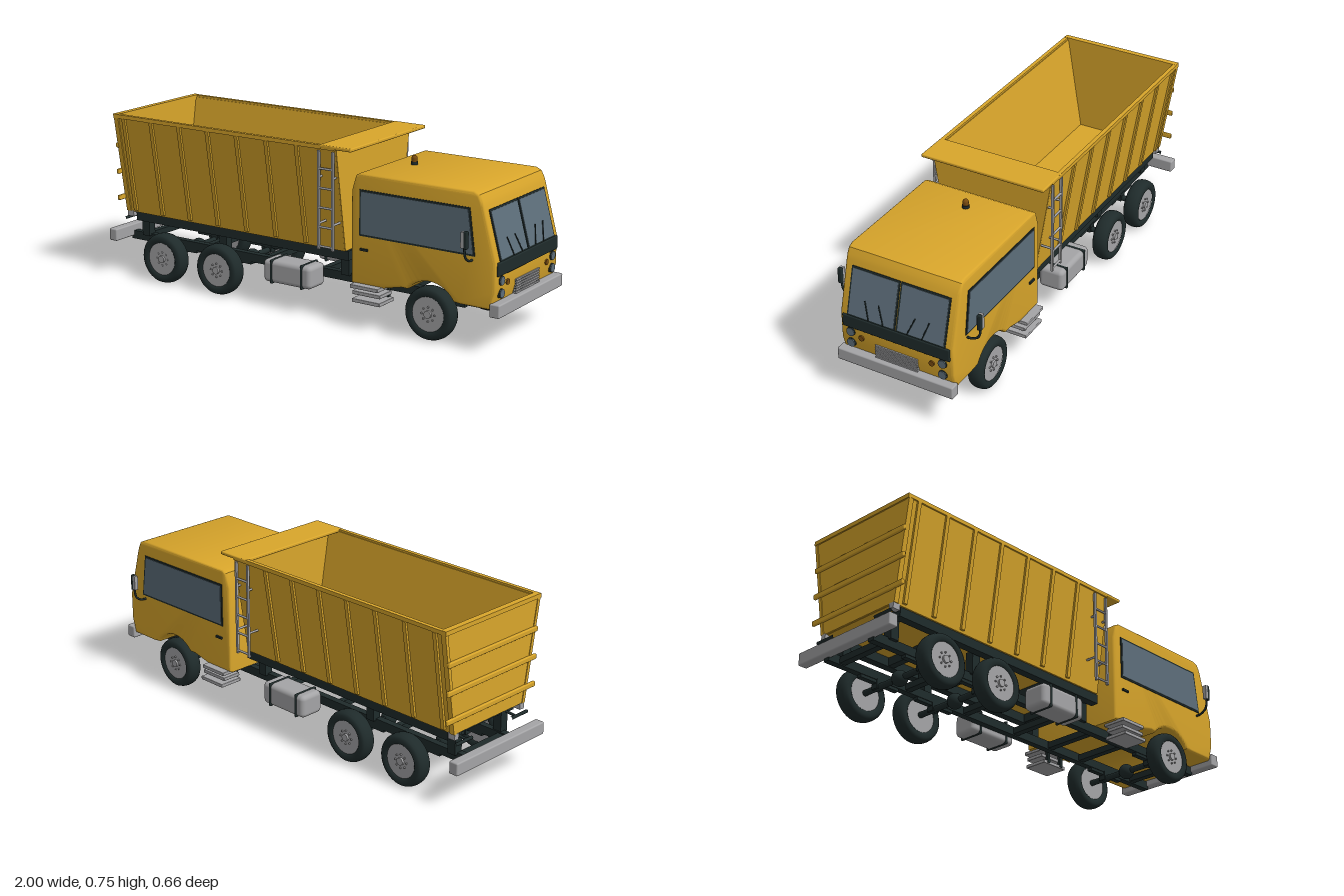
import * as THREE from 'three';
import { toCreasedNormals } from 'three/addons/utils/BufferGeometryUtils.js';
import { RoundedBoxGeometry } from 'three/addons/geometries/RoundedBoxGeometry.js';

const material = (name, color) => Object.assign(new THREE.MeshStandardMaterial({ color }), { name });

export function createModel() {
  const paint = material('yellow paint', 0xd9a62b);
  const dark = material('dark rubber and iron', 0x1f2b2b);
  const glass = material('window glass', 0x5d6e7a);
  const steel = material('light steel', 0xa4a4a6);
  const amber = material('amber lens', 0x7a4c10);

  const truck = new THREE.Group();
  truck.name = 'dumpTruck';
  const add = (name, geo, mat, x = 0, y = 0, z = 0, parent = truck) => {
    const m = new THREE.Mesh(geo, mat);
    m.name = name;
    m.position.set(x, y, z);
    parent.add(m);
    return m;
  };
  // Box given by its limits on each axis
  const box = (name, mat, x0, x1, y0, y1, z0, z1, parent = truck) =>
    add(name, new THREE.BoxGeometry(x1 - x0, y1 - y0, z1 - z0), mat,
      (x0 + x1) / 2, (y0 + y1) / 2, (z0 + z1) / 2, parent);
  const shapeOf = pts => new THREE.Shape(pts.map(p => new THREE.Vector2(...p)));
  // Cross-section of (z, y) points extruded along x
  const alongX = (name, mat, pts, x0, x1) => {
    const geo = new THREE.ExtrudeGeometry(shapeOf(pts.map(([z, y]) => [-z, y])), { depth: x1 - x0, bevelEnabled: false });
    return add(name, geo.rotateY(Math.PI / 2), mat, x0);
  };
  const rod = (name, mat, a, b, r, parent = truck) => {
    const curve = new THREE.LineCurve3(new THREE.Vector3(...a), new THREE.Vector3(...b));
    return add(name, new THREE.TubeGeometry(curve, 1, r, 8), mat, 0, 0, 0, parent);
  };
  const sides = [1, -1];

  // Cab: side profile with wheel arch, rounded edges
  const cab = shapeOf([[0.305, 0.18], [0.46, 0.18], [0.545, 0.2]]);
  cab.absarc(0.675, 0.115, 0.132, 2.45, 0.55, true);
  [[0.82, 0.18], [0.955, 0.18], [0.975, 0.25], [0.975, 0.372], [0.915, 0.59], [0.908, 0.61], [0.895, 0.634], [0.87, 0.645],
    [0.345, 0.645], [0.325, 0.635], [0.305, 0.57]].forEach(p => cab.lineTo(...p));
  const cabGeo = new THREE.ExtrudeGeometry(cab, {
    depth: 0.496, bevelThickness: 0.012, bevelSize: 0.012, bevelOffset: -0.012, bevelSegments: 3, curveSegments: 20,
  });
  add('cab', toCreasedNormals(cabGeo, 0.6), paint, 0, 0, -0.248);

  // Side windows, door handles, mirrors and steps
  const pane = (e, depth) => new THREE.ExtrudeGeometry(shapeOf([
    [0.355 - e, 0.395 - e], [0.876 + e, 0.395 - e], [0.85 + e, 0.572 + e], [0.355 - e, 0.572 + e]]),
    { depth, bevelEnabled: false });
  sides.forEach(s => {
    add('sideWindowFrame', pane(0.008, 0.004), dark, 0, 0, s * 0.261 - 0.002);
    add('sideWindow', pane(0, 0.006), glass, 0, 0, s * 0.262 - 0.003);
    box('doorHandle', dark, 0.352, 0.388, 0.326, 0.335, s * 0.263 - 0.005, s * 0.263 + 0.005);
    const arm = new THREE.CatmullRomCurve3([[0.25, 0.37], [0.285, 0.373], [0.312, 0.392], [0.32, 0.425], [0.32, 0.46]]
      .map(([z, y]) => new THREE.Vector3(0.87, y, s * z)));
    add('mirrorArm', new THREE.TubeGeometry(arm, 20, 0.005, 8), dark);
    add('mirrorHousing', new RoundedBoxGeometry(0.016, 0.072, 0.02, 2, 0.005), dark, 0.876, 0.465, s * 0.32);
    box('mirrorGlass', steel, 0.856, 0.87, 0.433, 0.497, s * 0.32 - 0.009, s * 0.32 + 0.009);
    for (const [y, x0] of [[0.176, 0.32], [0.148, 0.325], [0.118, 0.33]])
      add('step', new RoundedBoxGeometry(0.135, 0.016, y === 0.148 ? 0.09 : 0.11, 1, 0.003), steel, x0 + 0.067, y, s * 0.235);
    for (const x of [0.35, 0.43]) box('stepBracket', dark, x, x + 0.015, 0.115, 0.18, s * 0.185 - 0.008, s * 0.185 + 0.008);
  });

  // Windscreen, laid on the sloping front of the cab
  const front = new THREE.Group();
  front.name = 'windscreen';
  front.position.set(0.975, 0.372, 0);
  front.rotation.y = Math.PI / 2;
  const slope = new THREE.Group();
  slope.name = 'windscreenSlope';
  slope.rotation.x = -0.269;
  front.add(slope);
  truck.add(front);
  sides.forEach(s => {
    const c = s * 0.114;
    box('windscreenFrame', dark, c - 0.112, c + 0.112, 0, 0.208, -0.003, 0.003, slope);
    box('windscreenPane', glass, c - 0.105, c + 0.105, 0.006, 0.2, -0.003, 0.005, slope);
    rod('wiper', dark, [s * 0.123, 0.005, 0.008], [s * 0.148, 0.082, 0.008], 0.0025, slope);
    rod('wiper', dark, [s * 0.055, 0.005, 0.008], [s * 0.085, 0.082, 0.008], 0.0025, slope);
  });
  add('frontBand', new RoundedBoxGeometry(0.02, 0.057, 0.494, 2, 0.005), dark, 0.973, 0.344, 0);

  // Lamps and grille
  const lamp = (name, mat, r, x, y, z) =>
    add(name, new THREE.CylinderGeometry(r, r, 0.012, 24).rotateZ(-Math.PI / 2), mat, x, y, z);
  sides.forEach(s => {
    for (const y of [0.294, 0.242]) {
      lamp('headlampRim', dark, 0.0195, 0.974, y, s * 0.212);
      lamp('headlamp', glass, 0.018, 0.977, y, s * 0.212);
    }
    lamp('turnSignal', amber, 0.012, 0.975, 0.278, s * 0.163);
  });
  box('grilleBack', dark, 0.96, 0.976, 0.212, 0.27, -0.097, 0.097);
  for (let i = 0; i < 6; i++) box('grilleBar', steel, 0.965, 0.981, 0.212 + i * 0.0105, 0.219 + i * 0.0105, -0.098, 0.098);

  // Roof beacon
  add('beaconBase', new THREE.CylinderGeometry(0.015, 0.015, 0.014, 20), dark, 0.443, 0.651, 0);
  add('beaconLens', new THREE.CapsuleGeometry(0.0125, 0.014, 6, 20), amber, 0.443, 0.665, 0);

  // Bumpers
  add('frontBumper', new RoundedBoxGeometry(0.045, 0.055, 0.536, 2, 0.006), steel, 0.9775, 0.182, 0);
  add('rearBumper', new RoundedBoxGeometry(0.043, 0.055, 0.536, 2, 0.006), steel, -0.9785, 0.182, 0);

  // Tipping body with sloping sides
  alongX('bodyShell', paint, [[-0.21, 0.29], [0.21, 0.29], [0.28, 0.735], [0.265, 0.735], [0.192, 0.305],
    [-0.192, 0.305], [-0.265, 0.735], [-0.28, 0.735]], -0.925, 0.24);
  const endWall = [[-0.21, 0.292], [0.21, 0.292], [0.28, 0.737], [-0.28, 0.737]];
  alongX('bodyFrontWall', paint, endWall, 0.225, 0.245);
  alongX('tailgate', paint, endWall, -0.932, -0.915);
  box('tailgateRim', paint, -0.938, -0.912, 0.726, 0.745, -0.285, 0.285);
  add('cabGuard', new RoundedBoxGeometry(0.155, 0.015, 0.574, 2, 0.005), paint, 0.2425, 0.7385, 0);
  for (const y of [0.36, 0.48, 0.6])
    add('tailgateBar', new RoundedBoxGeometry(0.014, 0.022, 0.536, 2, 0.004), paint, -0.937, y, 0);
  sides.forEach(s => {
    box('topRail', paint, -0.925, 0.24, 0.727, 0.744, s * 0.277 - 0.009, s * 0.277 + 0.009);
    for (let i = 0; i < 7; i++) {
      const x = -0.88 + i * 0.155;
      alongX('bodyRib', paint, [[0.205, 0.3], [0.222, 0.3], [0.288, 0.727], [0.27, 0.727]].map(([z, y]) => [s * z, y]),
        x - 0.009, x + 0.009);
    }
    alongX('cornerPost', paint, [[0.2, 0.292], [0.216, 0.292], [0.285, 0.73], [0.27, 0.73]].map(([z, y]) => [s * z, y]), -0.935, -0.912);
    // Ladder with stand-off brackets
    for (const x of [0.16, 0.23]) {
      box('ladderRail', steel, x - 0.005, x + 0.005, 0.305, 0.72, s * 0.281 - 0.005, s * 0.281 + 0.005);
      for (const [y, z] of [[0.61, 0.25], [0.415, 0.22]]) rod('ladderBracket', steel, [x, y, s * z], [x, y, s * 0.281], 0.005);
    }
    for (let i = 0; i < 5; i++) rod('ladderRung', steel, [0.16, 0.318 + i * 0.082, s * 0.281], [0.23, 0.318 + i * 0.082, s * 0.281], 0.005);
    // Tail latches, lamp rods, body rails and body mounts
    box('tailLatch', steel, -0.935, -0.9, 0.267, 0.293, s * 0.2 - 0.012, s * 0.2 + 0.012);
    rod('rearLampRod', dark, [-0.945, 0.255, s * 0.12], [-0.945, 0.255, s * 0.22], 0.007);
    rod('rearLampArm', dark, [-0.945, 0.255, s * 0.15], [-0.88, 0.262, s * 0.15], 0.006);
    box('bodyRail', dark, -0.89, 0.255, 0.25, 0.291, s * 0.185 - 0.018, s * 0.185 + 0.018);
    for (const x of [-0.875, -0.435, 0.21])
      box('bodyMount', dark, x - 0.02, x + 0.02, 0.17, 0.27, s * 0.14 - 0.02, s * 0.14 + 0.02);
    // Chassis rail and fuel tank
    box('chassisRail', dark, -0.97, 0.965, 0.14, 0.178, s * 0.13 - 0.015, s * 0.13 + 0.015);
    add('fuelTank', new RoundedBoxGeometry(0.245, 0.1, 0.115, 4, 0.02), steel, -0.022, 0.157, s * 0.203);
    for (const x of [-0.1, 0.055]) add('tankStrap', new RoundedBoxGeometry(0.012, 0.106, 0.121, 4, 0.005), dark, x, 0.157, s * 0.203);
  });
  for (const x of [-0.87, -0.6, -0.3, 0, 0.2]) box('bodyCrossbar', dark, x - 0.015, x + 0.015, 0.252, 0.289, -0.18, 0.18);
  for (const x of [-0.9, -0.55, -0.22, 0.08, 0.3, 0.5, 0.85])
    box('chassisCrossbar', dark, x - 0.015, x + 0.015, 0.145, 0.173, -0.13, 0.13);

  // Axles and wheels
  const tyre = new THREE.LatheGeometry([[0.073, -0.028], [0.08, -0.034], [0.096, -0.035], [0.106, -0.028], [0.111, -0.015], [0.1125, 0],
    [0.111, 0.015], [0.106, 0.028], [0.096, 0.035], [0.08, 0.034], [0.073, 0.028]].map(p => new THREE.Vector2(...p)), 40).rotateX(Math.PI / 2);
  const disc = (r, h) => new THREE.CylinderGeometry(r, r, h, 28).rotateX(Math.PI / 2);
  for (const x of [-0.7, -0.395, 0.675]) {
    add('axle', disc(0.013, 0.42), dark, x, 0.115, 0);
    add('differential', new THREE.SphereGeometry(0.034, 20, 14), dark, x, 0.115, 0);
    sides.forEach(s => {
      const wheel = new THREE.Group();
      wheel.name = 'wheel';
      wheel.position.set(x, 0.1125, s * 0.2325);
      truck.add(wheel);
      add('tyre', tyre, dark, 0, 0, 0, wheel);
      add('rim', disc(0.076, 0.052), steel, 0, 0, 0, wheel);
      add('hubCap', disc(0.016, 0.014), steel, 0, 0, s * 0.028, wheel);
      for (let i = 0; i < 8; i++) {
        const a = i * Math.PI / 4;
        add('wheelNut', disc(0.004, 0.006), steel, 0.03 * Math.cos(a), 0.03 * Math.sin(a), s * 0.028, wheel);
      }
      box('leafSpring', dark, x - 0.1, x + 0.1, 0.127, 0.141, s * 0.13 - 0.012, s * 0.13 + 0.012);
      box('springClamp', dark, x - 0.018, x + 0.018, 0.105, 0.145, s * 0.13 - 0.016, s * 0.13 + 0.016);
    });
  }
  return truck;
}
